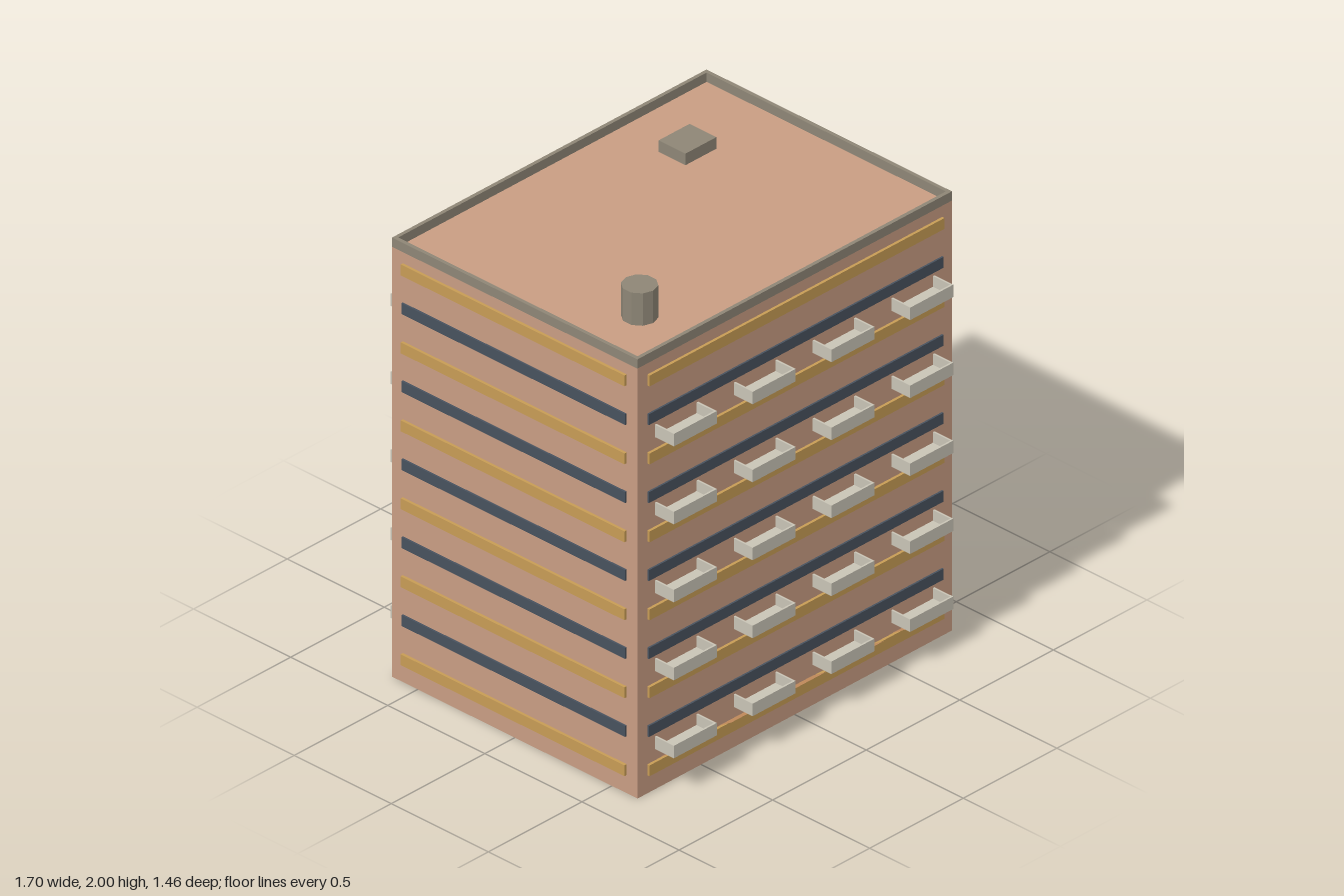
import * as THREE from 'three';

const mat = (name, color, side = THREE.FrontSide) => {
  const m = new THREE.MeshStandardMaterial({ color, side });
  m.name = name;
  return m;
};

export function createModel() {
  const brick = mat('brick', 0xc99d83);
  const concrete = mat('concrete', 0x8e8676);
  const ochre = mat('ochre', 0xc79c55);
  const glass = mat('glass', 0x48525e);
  const stone = mat('paleStone', 0xc9c4b6);
  const canvas = mat('awningCanvas', 0xc9905f, THREE.DoubleSide);

  const W = 0.84, D = 0.632, ROOF = 1.86, TOP = 1.9, STOREY = 0.3373;
  const model = new THREE.Group();
  model.name = 'apartmentBlock';

  const add = (parent, name, geometry, material, x, y, z) => {
    const mesh = new THREE.Mesh(geometry, material);
    mesh.name = name;
    mesh.position.set(x, y, z);
    parent.add(mesh);
    return mesh;
  };
  const box = (parent, name, material, w, h, d, x, y, z) =>
    add(parent, name, new THREE.BoxGeometry(w, h, d), material, x, y, z);

  // Main block
  box(model, 'walls', brick, W * 2, ROOF, D * 2, 0, ROOF / 2, 0);

  // Parapet: a thin rim around the flat roof
  const rim = new THREE.Shape();
  rim.moveTo(-W, -D).lineTo(W, -D).lineTo(W, D).lineTo(-W, D).closePath();
  const hole = new THREE.Path();
  const iw = W - 0.016, id = D - 0.016;
  hole.moveTo(-iw, -id).lineTo(-iw, id).lineTo(iw, id).lineTo(iw, -id).closePath();
  rim.holes.push(hole);
  const rimGeo = new THREE.ExtrudeGeometry(rim, { depth: TOP - ROOF, bevelEnabled: false });
  rimGeo.rotateX(-Math.PI / 2);
  add(model, 'parapet', rimGeo, concrete, 0, ROOF, 0);

  // Rooftop fittings
  const chimneyGeo = new THREE.CylinderGeometry(0.07, 0.07, 2 - ROOF, 10).toNonIndexed();
  chimneyGeo.computeVertexNormals();
  add(model, 'chimney', chimneyGeo, concrete, -0.563, (2 + ROOF) / 2, 0.376);
  box(model, 'roofHatch', concrete, 0.165, 0.05, 0.138, 0.42, ROOF + 0.025, -0.325);

  // Bands on all four walls
  const bands = (name, material, y, out) => {
    for (const s of [-1, 1]) {
      box(model, name, material, 1.575, 0.047, out, 0, y, s * (D + out / 2));
      box(model, name, material, out, 0.047, 1.152, s * (W + out / 2), y, 0);
    }
  };
  for (let i = 0; i < 6; i++) bands('ochreBand', ochre, 0.102 + i * STOREY, 0.012);
  for (let i = 0; i < 5; i++) bands('windowBand', glass, 0.27 + i * STOREY, 0.008);

  // Open-topped balcony, built outwards along +z
  const balcony = () => {
    const g = new THREE.Group();
    g.name = 'balcony';
    const w = 0.23, h = 0.054, d = 0.097, t = 0.008;
    box(g, 'balconyFloor', stone, w - t * 2, t, d - t, 0, t / 2, (d - t) / 2);
    box(g, 'balconyFront', stone, w, h, t, 0, h / 2, d - t / 2);
    for (const s of [-1, 1])
      box(g, 'balconySide', stone, t, h, d - t, s * (w - t) / 2, h / 2, (d - t) / 2);
    return g;
  };

  // Awning plate rising outwards from the wall
  const rise = 0.042, reach = 0.066;
  const awningGeo = new THREE.PlaneGeometry(0.196, Math.hypot(rise, reach));
  awningGeo.rotateX(-Math.PI / 2 - Math.atan2(rise, reach));

  // Same set on the front and the back
  for (const turn of [0, Math.PI]) {
    const facade = new THREE.Group();
    facade.name = turn ? 'backFacade' : 'frontFacade';
    facade.rotation.y = turn;
    for (let floor = 0; floor < 5; floor++)
      for (let i = 0; i < 4; i++) {
        const b = balcony();
        b.position.set((i - 1.5) * 0.421, 0.174 + floor * STOREY, D);
        facade.add(b);
      }
    for (let i = -2; i <= 2; i++)
      add(facade, 'awning', awningGeo, canvas, i * 0.309, 0.127 + rise / 2, D + reach / 2);
    model.add(facade);
  }
  return model;
}
